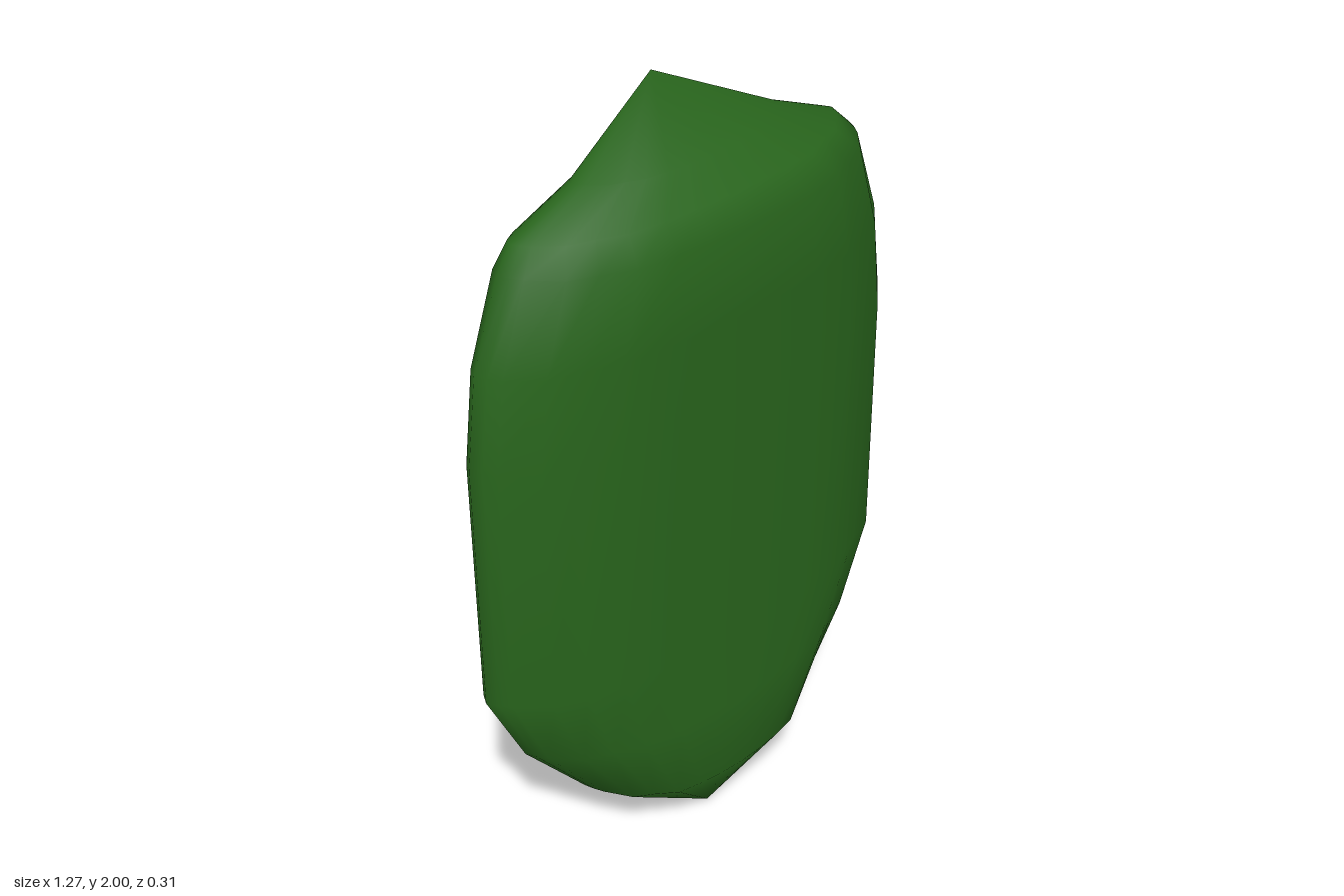
import * as THREE from 'three';

// Half of the horizontal cross-section [x, z], front centre round to back centre
const HALF = [
  [0, 0.155], [0.12, 0.152], [0.24, 0.144], [0.36, 0.13], [0.45, 0.092], [0.53, 0.064],
  [0.6, 0], [0.62, -0.025], [0.635, -0.052], [0.62, -0.08], [0.585, -0.1],
  [0.5, -0.09], [0.45, -0.1], [0.24, -0.102], [0, -0.108],
];

// Levels: height, half width, depth factor measured from the back plane
const LEVELS = [
  [0.22, 0.35, 1], [0.435, 0.53, 1], [0.655, 0.635, 1], [1.3, 0.635, 1],
  [1.53, 0.605, 1], [1.74, 0.53, 1], [1.79, 0.48, 0.75], [1.86, 0.3, 0.51],
];
const BACK = -0.105;

// Loft the mirrored section through all levels and close it with two points
function shellGeometry() {
  const mirrored = HALF.slice(1, -1).reverse().map(([x, z]) => [-x, z]);
  const section = [...HALF, ...mirrored];
  const n = section.length;
  const pos = [];
  const index = [];

  for (const [y, w, depth] of LEVELS) {
    for (const [x, z] of section) pos.push((x * w) / 0.635, y, BACK + (z - BACK) * depth);
  }
  const bottom = LEVELS.length * n;
  const top = bottom + 1;
  pos.push(0, 0, 0.025, 0, 2, -0.155);

  for (let j = 0; j < n; j++) {
    const k = (j + 1) % n;
    for (let i = 0; i < LEVELS.length - 1; i++) {
      const a = i * n + j, b = i * n + k;
      index.push(a, b, b + n, a, b + n, a + n);
    }
    const last = (LEVELS.length - 1) * n;
    index.push(bottom, k, j, last + j, last + k, top);
  }

  const geo = new THREE.BufferGeometry();
  geo.setAttribute('position', new THREE.Float32BufferAttribute(pos, 3));
  geo.setIndex(index);
  geo.computeVertexNormals();
  return geo;
}

export function createModel() {
  const group = new THREE.Group();
  group.name = 'shell';
  const shell = new THREE.Mesh(shellGeometry(), new THREE.MeshStandardMaterial({ color: 0x28641c }));
  shell.name = 'shellPlate';
  group.add(shell);
  return group;
}
